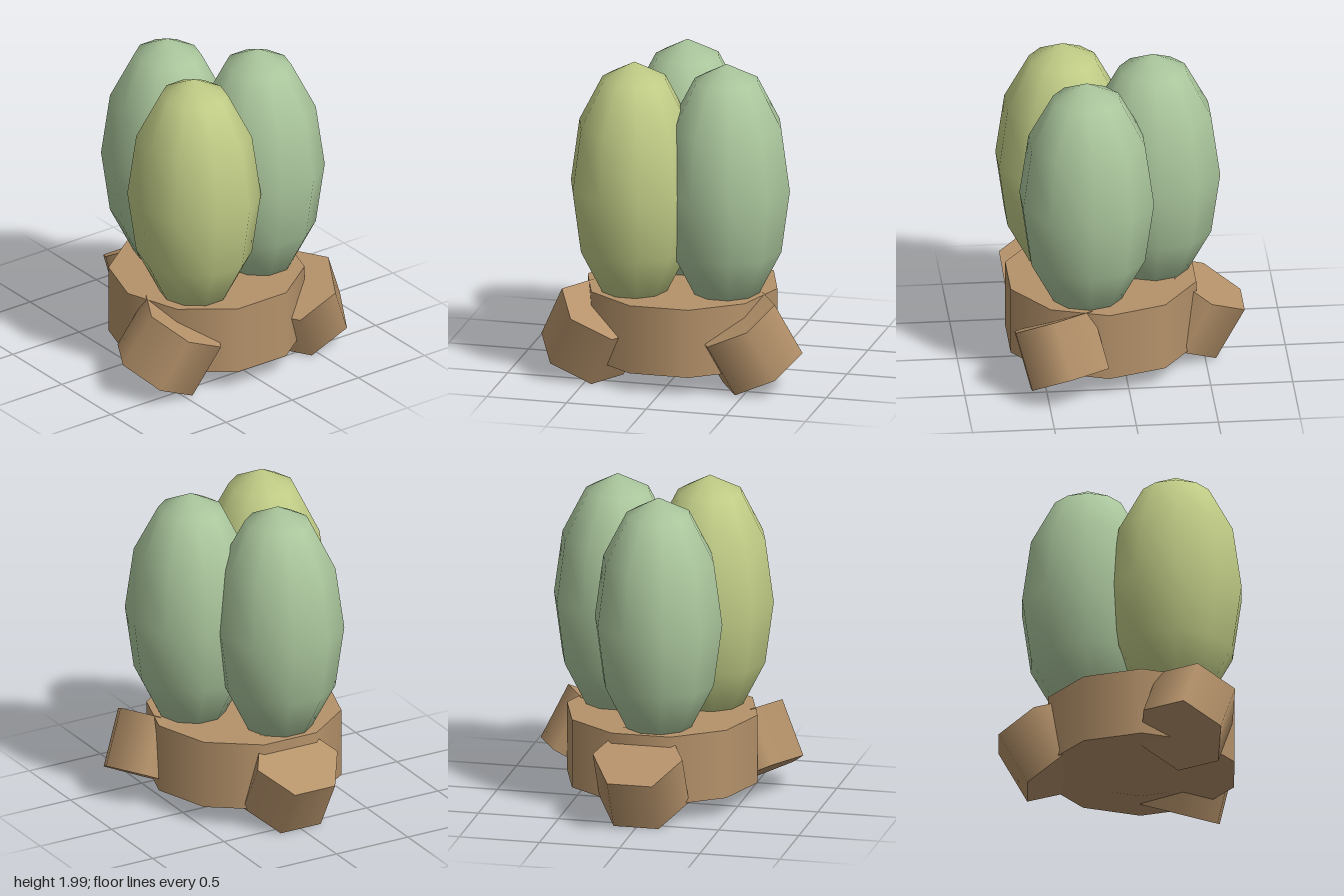
import * as THREE from 'three';

const green = new THREE.MeshStandardMaterial({ color: 0xabc79d });
green.name = 'sageGreen';
const lime = new THREE.MeshStandardMaterial({ color: 0xc0cc86 });
lime.name = 'limeGreen';
const brown = new THREE.MeshStandardMaterial({ color: 0xb5926a });
brown.name = 'barkBrown';

function addMesh(parent, name, geometry, material, x, y, z) {
  const mesh = new THREE.Mesh(geometry, material);
  mesh.name = name;
  mesh.position.set(x, y, z);
  parent.add(mesh);
  return mesh;
}

export function createModel() {
  const model = new THREE.Group();
  model.name = 'podCluster';
  const cx = 0.125; // axis of the trunk

  // Three tall ten-sided pods
  const podGeo = new THREE.SphereGeometry(1, 10, 6);
  podGeo.rotateY(Math.PI / 2);
  podGeo.scale(0.42, 0.78, 0.398);
  addMesh(model, 'rightPod', podGeo, green, -0.198, 1.22, 0.053);
  addMesh(model, 'backPod', podGeo, green, 0.238, 1.22, -0.305);
  addMesh(model, 'frontPod', podGeo, lime, 0.334, 1.22, 0.248);

  // Squat trunk with a shallow rounded underside
  addMesh(model, 'trunk', new THREE.CylinderGeometry(0.595, 0.595, 0.43, 10), brown, cx, 0.345, 0);
  const underside = [[0, 0.075], [0.25, 0.1], [0.38, 0.14]].map(([r, y]) => new THREE.Vector2(r, y));
  addMesh(model, 'trunkUnderside', new THREE.LatheGeometry(underside, 10), brown, cx, 0, 0);

  // Three stubby six-sided roots around the trunk, each tilted
  const rootGeo = new THREE.CylinderGeometry(0.28, 0.28, 0.365, 6);
  ['rightRoot', 'frontRoot', 'backRoot'].forEach((name, i) => {
    const turn = (i * Math.PI * 2) / 3;
    const root = addMesh(model, name, rootGeo, brown,
      cx - 0.565 * Math.cos(turn), 0.287, 0.565 * Math.sin(turn));
    root.rotation.set(0, -turn, 0.5);
  });

  return model;
}
